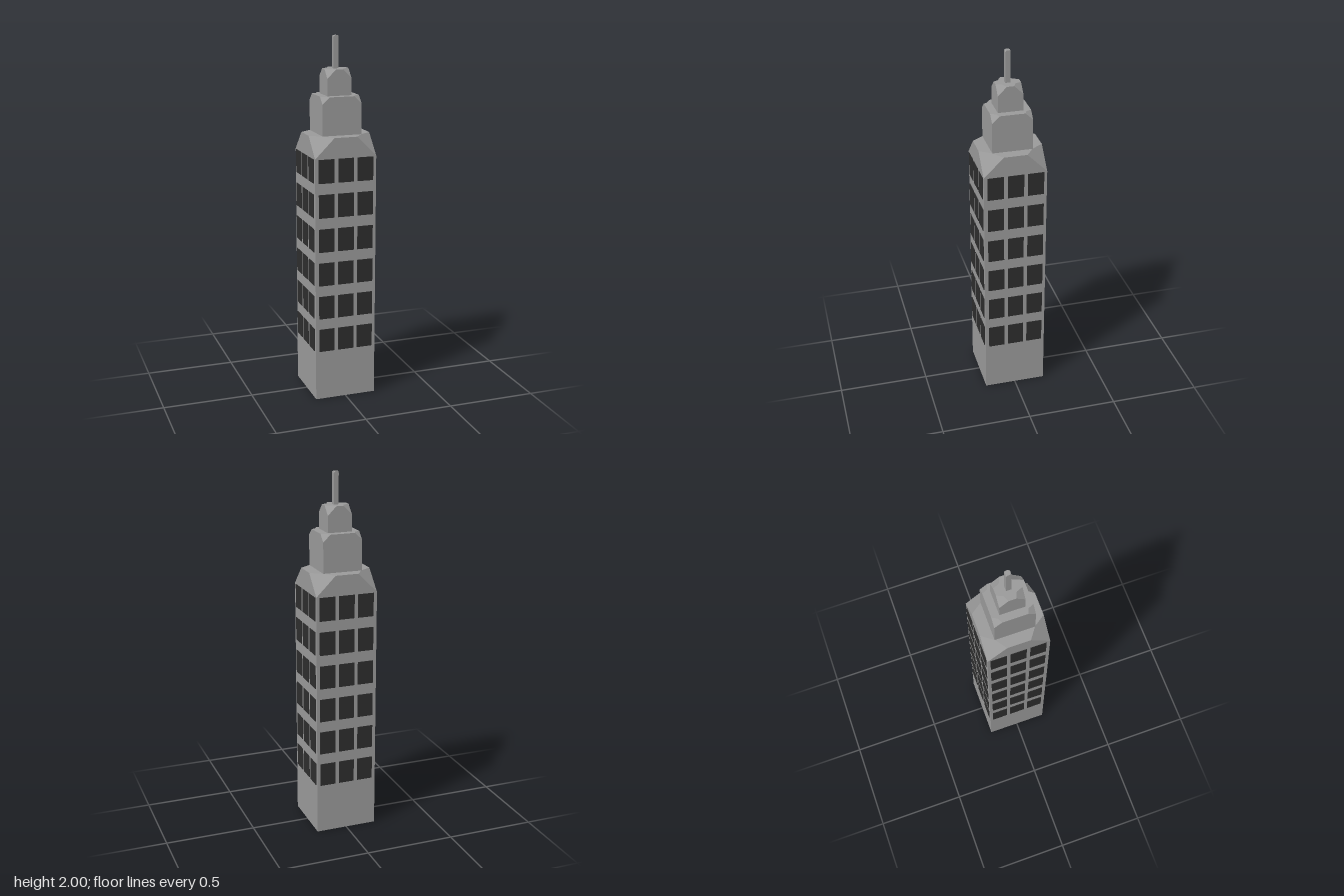
import * as THREE from 'three';
import { mergeGeometries } from 'three/addons/utils/BufferGeometryUtils.js';

// Flat polygons as triangle fans, one shared normal per polygon
function facets(polygons) {
  const pos = [], nor = [];
  for (const poly of polygons) {
    const p = poly.map((c) => new THREE.Vector3(...c));
    const n = new THREE.Vector3();
    p.forEach((v, i) => n.add(v.clone().cross(p[(i + 1) % p.length])));
    n.normalize();
    for (let i = 1; i < p.length - 1; i++) {
      for (const v of [p[0], p[i], p[i + 1]]) {
        pos.push(v.x, v.y, v.z);
        nor.push(n.x, n.y, n.z);
      }
    }
  }
  const g = new THREE.BufferGeometry();
  g.setAttribute('position', new THREE.Float32BufferAttribute(pos, 3));
  g.setAttribute('normal', new THREE.Float32BufferAttribute(nor, 3));
  return g;
}

// Square block with its top corners cut away: h half width, a half length of the
// remaining top edge, i inner point of the cut on the diagonal, drop its depth
function tierGeometry({ y0, y1, h, a, i, drop }) {
  const yc = y1 - drop;
  const quarter = facets([
    [[-h, y0, h], [h, y0, h], [h, yc, h], [a, y1, h], [-a, y1, h], [-h, yc, h]], // wall
    [[h, yc, h], [h, y1, a], [i, y1, i], [a, y1, h]], // corner cut
    [[0, y1, 0], [-i, y1, i], [-a, y1, h], [a, y1, h], [i, y1, i]], // roof
    [[0, y0, 0], [h, y0, h], [-h, y0, h]], // underside
  ]);
  return mergeGeometries([0, 1, 2, 3].map((k) => quarter.clone().rotateY(k * Math.PI / 2)));
}

export function createModel() {
  const group = new THREE.Group();
  const stone = new THREE.MeshStandardMaterial({ color: 0x999999 });
  stone.name = 'stone grey';
  const glass = new THREE.MeshStandardMaterial({ color: 0x2d2d2d });
  glass.name = 'dark glass';

  // Stepped tower and mast
  const tiers = [
    { name: 'mainTower', y0: 0, y1: 1.478, h: 0.173, a: 0.064, i: 0.109, drop: 0.109 },
    { name: 'middleTier', y0: 1.478, y1: 1.685, h: 0.11, a: 0.069, i: 0.081, drop: 0.038 },
    { name: 'upperTier', y0: 1.685, y1: 1.825, h: 0.068, a: 0.02, i: 0.034, drop: 0.048 },
    { name: 'mast', y0: 1.825, y1: 2, h: 0.014, a: 0.006, i: 0.009, drop: 0.008 },
  ];
  for (const tier of tiers) {
    const mesh = new THREE.Mesh(tierGeometry(tier), stone);
    mesh.name = tier.name;
    group.add(mesh);
  }

  // Window plates: six rows of three on every wall
  const pane = new THREE.BoxGeometry(0.089, 0.13, 0.008);
  const windows = new THREE.Group();
  windows.name = 'windows';
  for (let row = 0; row < 6; row++) {
    const y = 0.347 + row * 0.1908;
    for (const col of [-1, 0, 1]) {
      for (const side of [-1, 1]) {
        const ends = new THREE.Mesh(pane, glass);
        ends.name = side > 0 ? 'frontWindow' : 'backWindow';
        ends.position.set(0.001 + col * 0.11, y, side * 0.172);
        const flanks = new THREE.Mesh(pane, glass);
        flanks.name = side > 0 ? 'leftWindow' : 'rightWindow';
        flanks.rotation.y = Math.PI / 2;
        flanks.position.set(side * 0.172, y, -0.002 + col * 0.11);
        windows.add(ends, flanks);
      }
    }
  }
  group.add(windows);
  return group;
}
